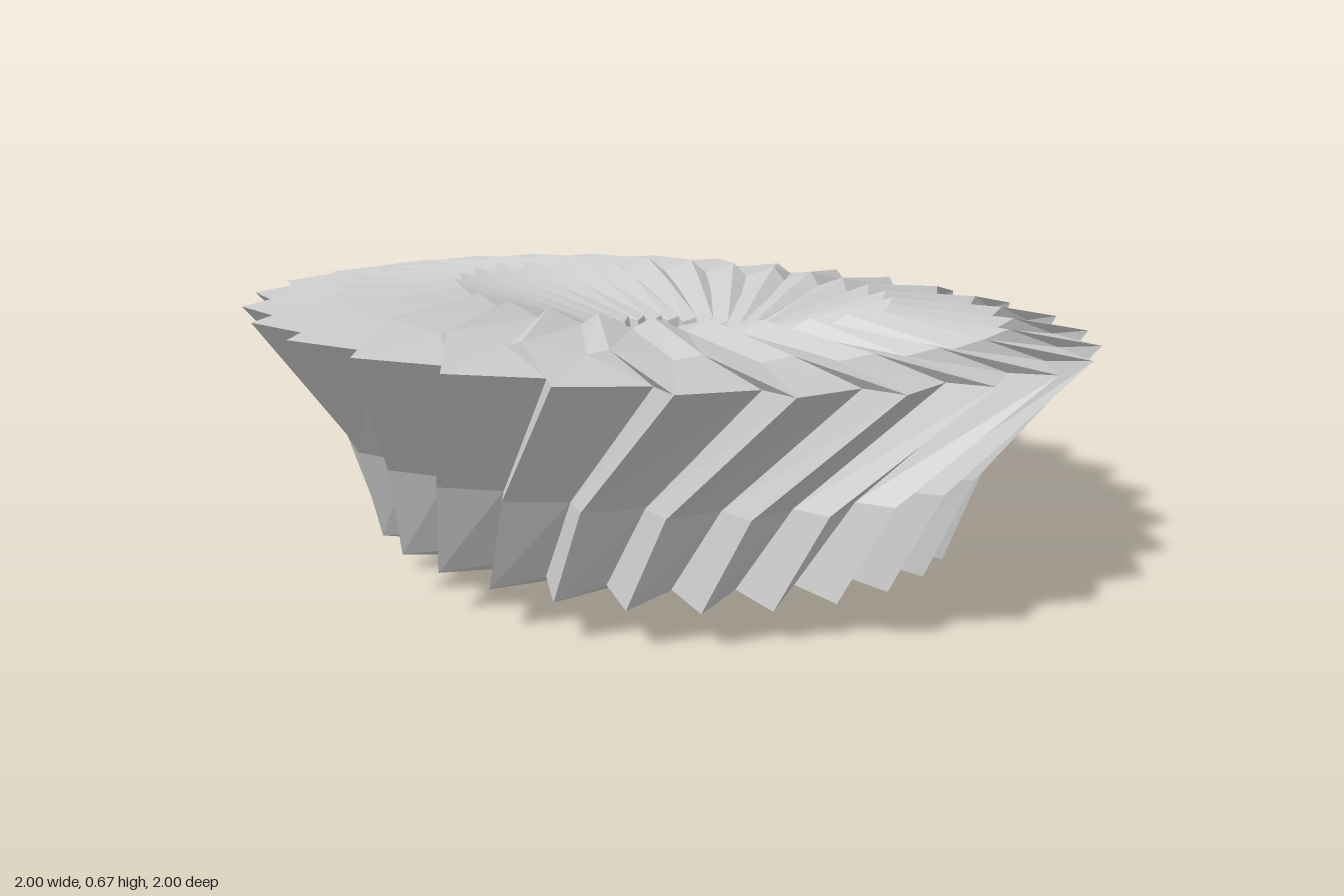
import * as THREE from 'three';

const TEETH = 28;
const STEP = (Math.PI * 2) / TEETH;
const RAD = Math.PI / 180;
const RIM_Y = 0.57;
const PHASE = 1.7;

// Rings of the swirl: tip [radius, height, twist], valley [radius, height, angle behind the tip]
const bottomInner = { tip: [0.32, 0.06, 43], valley: [0.305, 0.07, 5] };
const bottomOuter = { tip: [0.69, 0.05, -19], valley: [0.61, 0.075, 5] };
const waist = { tip: [0.765, 0.27, -13], valley: [0.69, 0.27, 3.5] };
const rim = { tip: [1.0, RIM_Y, 0], valley: [0.905, 0.565, 2.4] };
const shoulder = { tip: [0.8, 0.61, -9], valley: [0.76, 0.59, 4] };
const dome = { tip: [0.52, 0.635, -18], valley: [0.5, 0.605, 5] };
const funnel = { tip: [0.39, 0.60, -23], valley: [0.38, 0.575, 5] };
const throat = { tip: [0.2, 0.53, -44], valley: [0.175, 0.52, 4] };
const bore = { tip: [0.16, 0.4, -47], valley: [0.145, 0.4, 4] };
// Same ring as the bore, turned by a whole number of teeth
const boreLow = { tip: [0.16, 0.4, 43], valley: [0.145, 0.4, 4] };

function ringPoint(ring, k) {
  const tooth = Math.floor(k / 2);
  const isTip = k % 2 === 1;
  const [r, y] = isTip ? ring.tip : ring.valley;
  const back = isTip ? 0 : ring.valley[2];
  const a = (ring.tip[2] - back + PHASE) * RAD + tooth * STEP;
  return [r * Math.cos(a), y - RIM_Y, -r * Math.sin(a)];
}

// Loft a toothed skin through a list of rings
function loft(rings) {
  const pos = [];
  for (let i = 0; i < rings.length - 1; i++) {
    for (let k = 0; k < TEETH * 2; k++) {
      const a = ringPoint(rings[i], k);
      const b = ringPoint(rings[i], k + 1);
      const c = ringPoint(rings[i + 1], k + 1);
      const d = ringPoint(rings[i + 1], k);
      pos.push(...a, ...b, ...c, ...a, ...c, ...d);
    }
  }
  const geo = new THREE.BufferGeometry();
  geo.setAttribute('position', new THREE.Float32BufferAttribute(pos, 3));
  geo.computeVertexNormals();
  return geo;
}

export function createModel() {
  const group = new THREE.Group();
  group.name = 'swirledRing';
  const material = new THREE.MeshStandardMaterial({
    color: 0xcccccc, flatShading: true, side: THREE.DoubleSide,
  });

  // The whole ring leans slightly about the centre of its rim
  const body = new THREE.Group();
  body.name = 'tiltedBody';
  body.position.y = RIM_Y;
  body.rotation.set(-0.06, 0, -0.045);
  group.add(body);

  const parts = {
    innerCone: [boreLow, bottomInner],
    underside: [bottomInner, bottomOuter],
    outerWall: [bottomOuter, waist, rim],
    topBlades: [rim, shoulder, dome, funnel, throat],
    centreBore: [throat, bore],
  };
  for (const [name, rings] of Object.entries(parts)) {
    const mesh = new THREE.Mesh(loft(rings), material);
    mesh.name = name;
    body.add(mesh);
  }
  return group;
}
